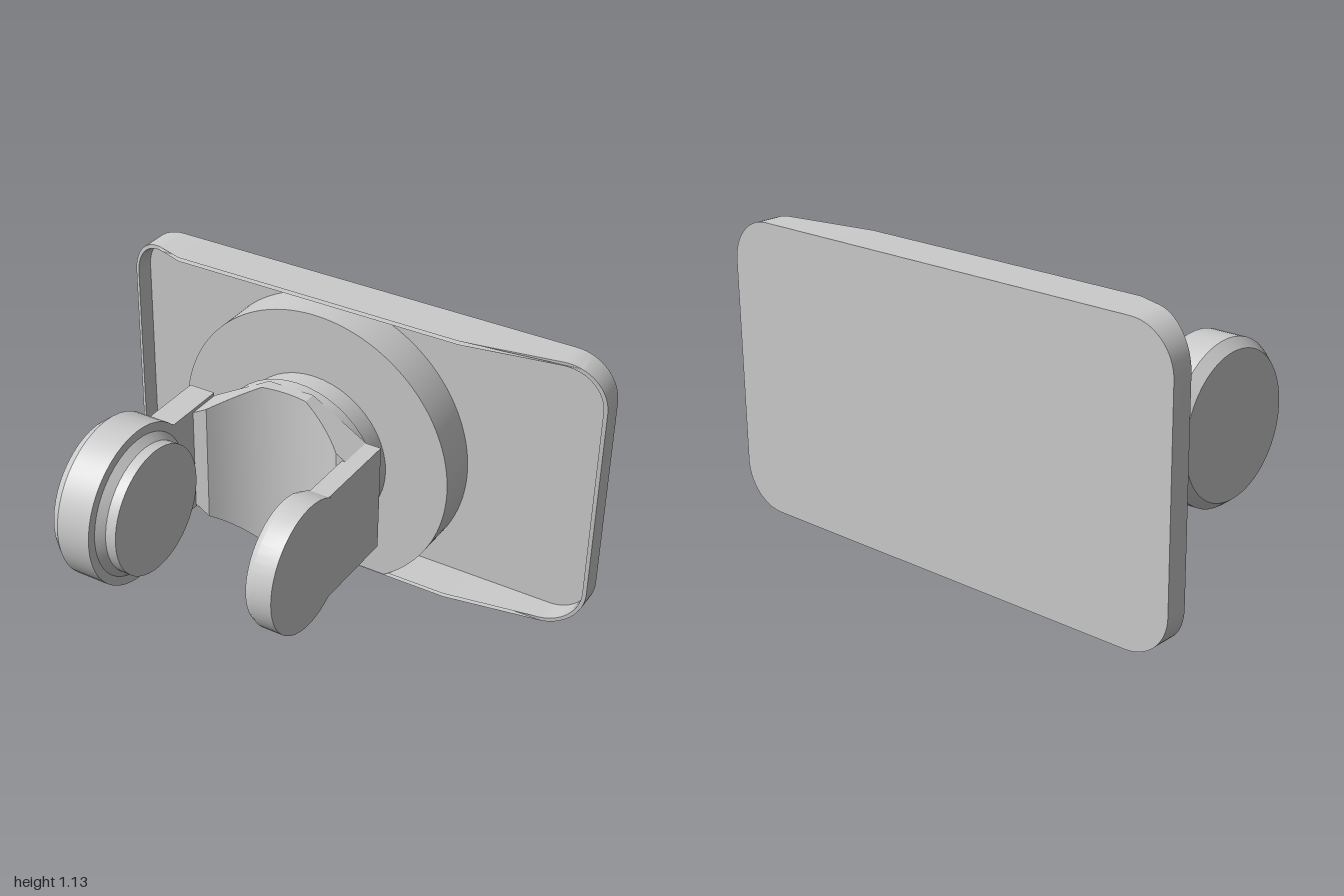
import * as THREE from 'three';
import { toCreasedNormals } from 'three/addons/utils/BufferGeometryUtils.js';

const CX = -0.13, CY = 0.48; // axis of the round mount
const BACK = -0.575, FACE = -0.395; // back of the plate, front of its rim
const PIVOT_Z = 0.26;

export function createModel() {
  const model = new THREE.Group();
  const material = new THREE.MeshStandardMaterial({ color: 0xcccccc });

  const add = (name, geometry, x = 0, y = 0, z = 0) => {
    const mesh = new THREE.Mesh(toCreasedNormals(geometry, 0.45), material);
    mesh.name = name;
    mesh.position.set(x, y, z);
    model.add(mesh);
    return mesh;
  };

  // Rounded rectangle, with points where the rim starts to slope
  const outline = (path, inset) => {
    const x = 1 - inset, y0 = inset, y1 = 1.13 - inset, r = 0.17 - inset;
    path.moveTo(-x + r, y0);
    for (const k of [-0.73, 0.46]) path.lineTo(k, y0);
    path.lineTo(x - r, y0);
    path.absarc(x - r, y0 + r, r, -Math.PI / 2, 0);
    path.absarc(x - r, y1 - r, r, 0, Math.PI / 2);
    for (const k of [0.46, -0.73]) path.lineTo(k, y1);
    path.absarc(-x + r, y1 - r, r, Math.PI / 2, Math.PI);
    path.absarc(-x + r, y0 + r, r, Math.PI, Math.PI * 1.5);
    return path;
  };
  const extrude = (shape, depth, curveSegments = 8) =>
    new THREE.ExtrudeGeometry(shape, { depth, bevelEnabled: false, curveSegments });

  // Back plate with a thin rim that drops towards both ends
  add('backPlate', extrude(outline(new THREE.Shape(), 0.004), 0.015), 0, 0, BACK);
  const rimShape = outline(new THREE.Shape(), 0);
  rimShape.holes.push(outline(new THREE.Path(), 0.015));
  const rim = extrude(rimShape, FACE - BACK);
  const p = rim.attributes.position;
  for (let i = 0; i < p.count; i++) {
    if (p.getZ(i) < 0.01) continue;
    const x = p.getX(i);
    const drop = Math.max(0, (-0.73 - x) / 0.27, (x - 0.46) / 0.54) * 0.092;
    p.setZ(i, FACE - BACK - drop);
  }
  add('plateRim', rim, 0, 0, BACK);

  // Large round boss, cut flat along the lower edge of the plate
  const cut = Math.asin((CY - 0.003) / 0.58);
  const boss = new THREE.Shape();
  boss.absarc(CX, CY, 0.58, -cut, Math.PI + cut);
  boss.closePath();
  add('boss', extrude(boss, FACE - BACK - 0.01, 64), 0, 0, BACK + 0.01);

  // Swivel neck and collar
  const disc = (name, radius, z0, z1) => {
    const g = new THREE.CylinderGeometry(radius, radius, z1 - z0, 48).rotateX(Math.PI / 2);
    add(name, g, CX, CY, (z0 + z1) / 2);
  };
  disc('neck', 0.32, -0.42, -0.275);
  disc('collar', 0.35, -0.28, -0.235);

  // Yoke base: hollowed front, top and bottom tapering to the arms
  add('yokeBase', yokeBase(), CX, CY, 0);

  // Yoke arms
  const arm = (name, x0, x1, z1) => {
    const z0 = -0.235;
    add(name, new THREE.BoxGeometry(x1 - x0, 0.44, z1 - z0), (x0 + x1) / 2, CY, (z0 + z1) / 2);
  };
  arm('rightArm', -0.58, -0.472, 0.2);
  arm('leftArm', 0.175, 0.253, PIVOT_Z);

  // Pivot discs turned about the x axis; profile is [radius, x]
  const turned = (name, profile) => {
    const g = new THREE.LatheGeometry(profile.map(([r, x]) => new THREE.Vector2(r, x)), 48);
    add(name, g.rotateZ(-Math.PI / 2), 0, CY, PIVOT_Z);
  };
  turned('rightKnob', [
    [0, -0.65], [0.283, -0.65], [0.316, -0.608], [0.316, -0.47],
    [0.28, -0.47], [0.255, -0.44], [0.255, -0.397], [0, -0.397],
  ]);
  turned('leftPivot', [[0, 0.145], [0.243, 0.145], [0.255, 0.17], [0.255, 0.255], [0, 0.255]]);

  return model;
}

// Loft of rectangular sections along x
function yokeBase() {
  const xs = [-0.34, -0.28];
  for (let i = 1; i < 24; i++) xs.push(-0.28 + (0.56 * i) / 24);
  xs.push(-0.094, 0.094, 0.28, 0.34);
  xs.sort((a, b) => a - b);
  const R = 0.426; // radius of the hollow
  const positions = [], index = [];
  for (const x of xs) {
    const h = 0.35 - Math.max(0, Math.abs(x) - 0.094) * 0.577;
    const c = Math.min(Math.abs(x), 0.28);
    const z = -0.195 + R - Math.sqrt(R * R - c * c);
    positions.push(x, -h, -0.237, x, -h, z, x, h, z, x, h, -0.237);
  }
  for (let i = 0; i < xs.length - 1; i++) {
    for (let j = 0; j < 4; j++) {
      const a = i * 4 + j, b = i * 4 + ((j + 1) % 4);
      index.push(a, a + 4, b, b, a + 4, b + 4);
    }
  }
  const e = (xs.length - 1) * 4;
  index.push(0, 1, 2, 0, 2, 3, e, e + 2, e + 1, e, e + 3, e + 2);
  const g = new THREE.BufferGeometry();
  g.setAttribute('position', new THREE.Float32BufferAttribute(positions, 3));
  g.setIndex(index);
  return g;
}
